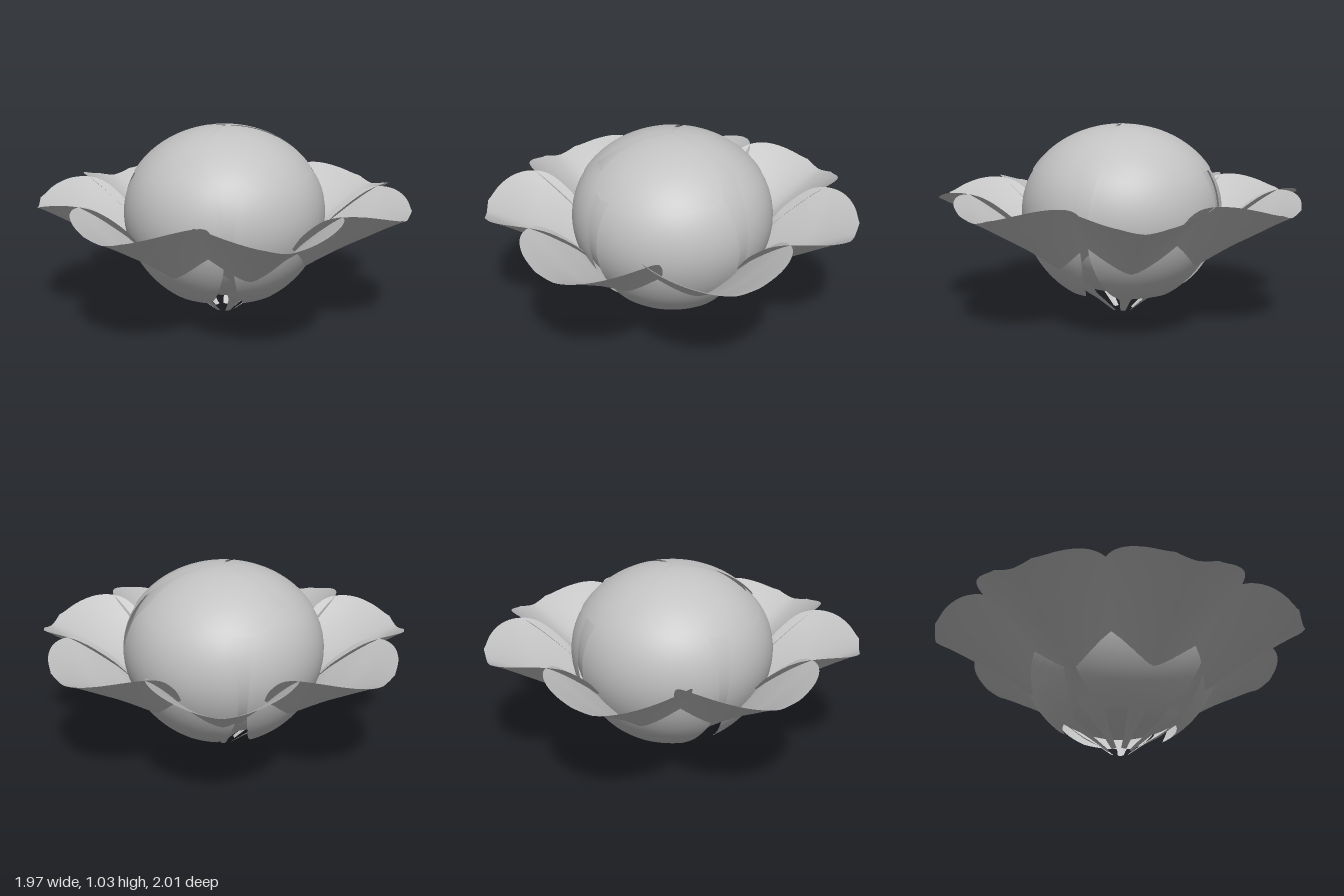
import * as THREE from 'three';

const petalGrey = new THREE.MeshStandardMaterial({ color: 0xc2c2c2, side: THREE.DoubleSide });
petalGrey.name = 'petalGrey';

const BUD_Y = 0.565, BUD_R = 0.525, BUD_H = 0.457;
const deg = THREE.MathUtils.degToRad;

// Smooth sheet: point(u, v) with u along 0..1 and v across -1..1
function sheet(nu, nv, point) {
  const pos = [], index = [];
  for (let i = 0; i <= nu; i++) {
    for (let j = 0; j <= nv; j++) {
      pos.push(...point(i / nu, (2 * j) / nv - 1));
      if (i < nu && j < nv) {
        const a = i * (nv + 1) + j, b = a + nv + 1;
        index.push(a, b, a + 1, b, b + 1, a + 1);
      }
    }
  }
  const g = new THREE.BufferGeometry();
  g.setAttribute('position', new THREE.Float32BufferAttribute(pos, 3));
  g.setIndex(index);
  g.computeVertexNormals();
  return g;
}

const curve = (rows) => new THREE.CatmullRomCurve3(rows.map((r) => new THREE.Vector3(...r)), false, 'centripetal');

// Outer petal: rows are distance from axis, height, half width
function outerPetalGeometry() {
  const c = curve([
    [0.06, 0, 0.015], [0.16, 0.075, 0.03], [0.26, 0.14, 0.06], [0.35, 0.215, 0.14],
    [0.45, 0.285, 0.235], [0.55, 0.35, 0.31], [0.68, 0.43, 0.365], [0.79, 0.49, 0.36],
    [0.88, 0.54, 0.315], [0.95, 0.577, 0.235], [1.005, 0.603, 0.11],
  ]);
  return sheet(40, 16, (u, v) => {
    const p = c.getPoint(u), w = p.z * v;
    // The cup is deepest near the bud and flattens towards the tip
    const cup = Math.min(1.25, 1.9 - 1.25 * p.x);
    return [w, p.y + cup * Math.pow(Math.abs(w), 1.5), p.x];
  });
}

// Cap petal draped over the top of the bud: rows are distance, 0, half width
function capPetalGeometry() {
  const c = curve([
    [0.01, 0, 0.008], [0.05, 0, 0.06], [0.13, 0, 0.18], [0.23, 0, 0.295],
    [0.32, 0, 0.335], [0.4, 0, 0.29], [0.45, 0, 0.21], [0.485, 0, 0.13],
  ]);
  return sheet(28, 20, (u, v) => {
    const p = c.getPoint(u), x = p.z * v;
    const z = p.x - 0.02 * u * v * v;
    return [x, BUD_Y + 0.468 * Math.sqrt(1 - (x * x + z * z) / 0.306), z];
  });
}

// Bud shell, flaring below: rows are polar angle, half angle, scale
function shellGeometry() {
  const c = curve([
    [48, 34, 1.02], [65, 39, 1.04], [90, 42, 1.045], [115, 42, 1.055],
    [133, 38, 1.085], [142, 34, 1.105], [149, 27, 1.12],
  ]);
  return sheet(26, 20, (u, v) => {
    const p = c.getPoint(u), a = deg(p.y * v), t = deg(p.x);
    const r = BUD_R * p.z * Math.sin(t);
    return [r * Math.sin(a), BUD_Y + BUD_H * p.z * Math.cos(t), r * Math.cos(a)];
  });
}

export function createModel() {
  const flower = new THREE.Group();
  flower.name = 'flower';

  // Copies one geometry around the flower axis
  const ring = (name, geometry, count, start) => {
    const group = new THREE.Group();
    group.name = name + 's';
    for (let i = 0; i < count; i++) {
      const m = new THREE.Mesh(geometry, petalGrey);
      m.name = name;
      m.rotation.y = deg(start + (360 / count) * i);
      group.add(m);
    }
    flower.add(group);
  };

  // Closed bud at the centre
  const bud = new THREE.Mesh(new THREE.SphereGeometry(1, 48, 32), petalGrey);
  bud.name = 'bud';
  bud.scale.set(BUD_R, BUD_H, BUD_R);
  bud.position.y = BUD_Y;
  flower.add(bud);

  ring('budShell', shellGeometry(), 4, 17);
  ring('capPetal', capPetalGeometry(), 3, 7);
  ring('outerPetal', outerPetalGeometry(), 7, -13.5);

  flower.position.x = -0.022;
  const model = new THREE.Group();
  model.add(flower);
  return model;
}
